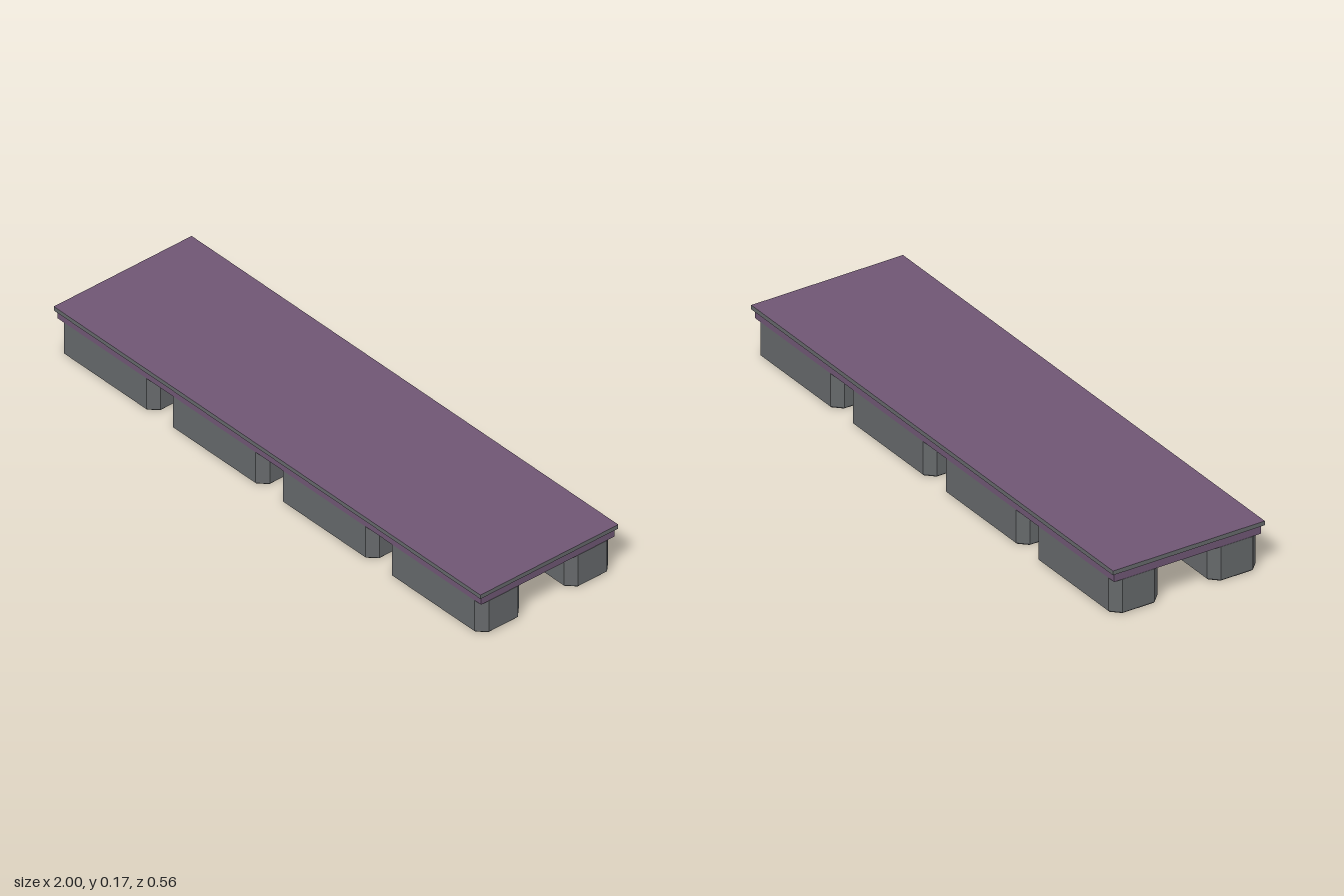
import * as THREE from 'three';

const grey = new THREE.MeshStandardMaterial({ color: 0x65686a });
grey.name = 'floatGrey';
const purple = new THREE.MeshStandardMaterial({ color: 0x6f5674 });
purple.name = 'deckPurple';
const violet = new THREE.MeshStandardMaterial({ color: 0x46147a });
violet.name = 'undersideViolet';

// Box between two heights; materials in the order +x, -x, +y, -y, +z, -z
function slab(name, width, bottom, top, depth, materials) {
  const mesh = new THREE.Mesh(new THREE.BoxGeometry(width, top - bottom, depth), materials);
  mesh.position.y = (bottom + top) / 2;
  mesh.name = name;
  return mesh;
}

// Float with cut corners and a fine bevel; the upper bevel sits inside the frame
function floatGeometry(width, depth, top) {
  const bevel = 0.005, cut = 0.028;
  const x = width / 2 - bevel, z = depth / 2 - bevel;
  const outline = new THREE.Shape([
    [x, -z + cut], [x, z - cut], [x - cut, z], [-x + cut, z],
    [-x, z - cut], [-x, -z + cut], [-x + cut, -z], [x - cut, -z],
  ].map(([a, b]) => new THREE.Vector2(a, b)));
  const geometry = new THREE.ExtrudeGeometry(outline, {
    depth: top - bevel, bevelEnabled: true, bevelThickness: bevel, bevelSize: bevel, bevelSegments: 1,
  });
  geometry.rotateX(-Math.PI / 2);
  geometry.translate(0, bevel, 0);
  return geometry;
}

export function createModel() {
  const model = new THREE.Group();
  model.name = 'floatingDock';

  // Deck board with a grey rim, and the narrower frame beneath
  model.add(slab('deck', 2, 0.152, 0.167, 0.562, [grey, grey, purple, grey, grey, grey]));
  model.add(slab('frame', 1.986, 0.122, 0.152, 0.544, [purple, purple, purple, violet, purple, purple]));

  // Two rows of four floats
  const geometry = floatGeometry(0.449, 0.18, 0.122);
  const floats = new THREE.Group();
  floats.name = 'floats';
  for (const z of [-0.182, 0.182]) {
    for (const x of [-0.769, -0.257, 0.257, 0.769]) {
      const mesh = new THREE.Mesh(geometry, grey);
      mesh.position.set(x, 0, z);
      mesh.name = 'float';
      floats.add(mesh);
    }
  }
  model.add(floats);
  return model;
}
